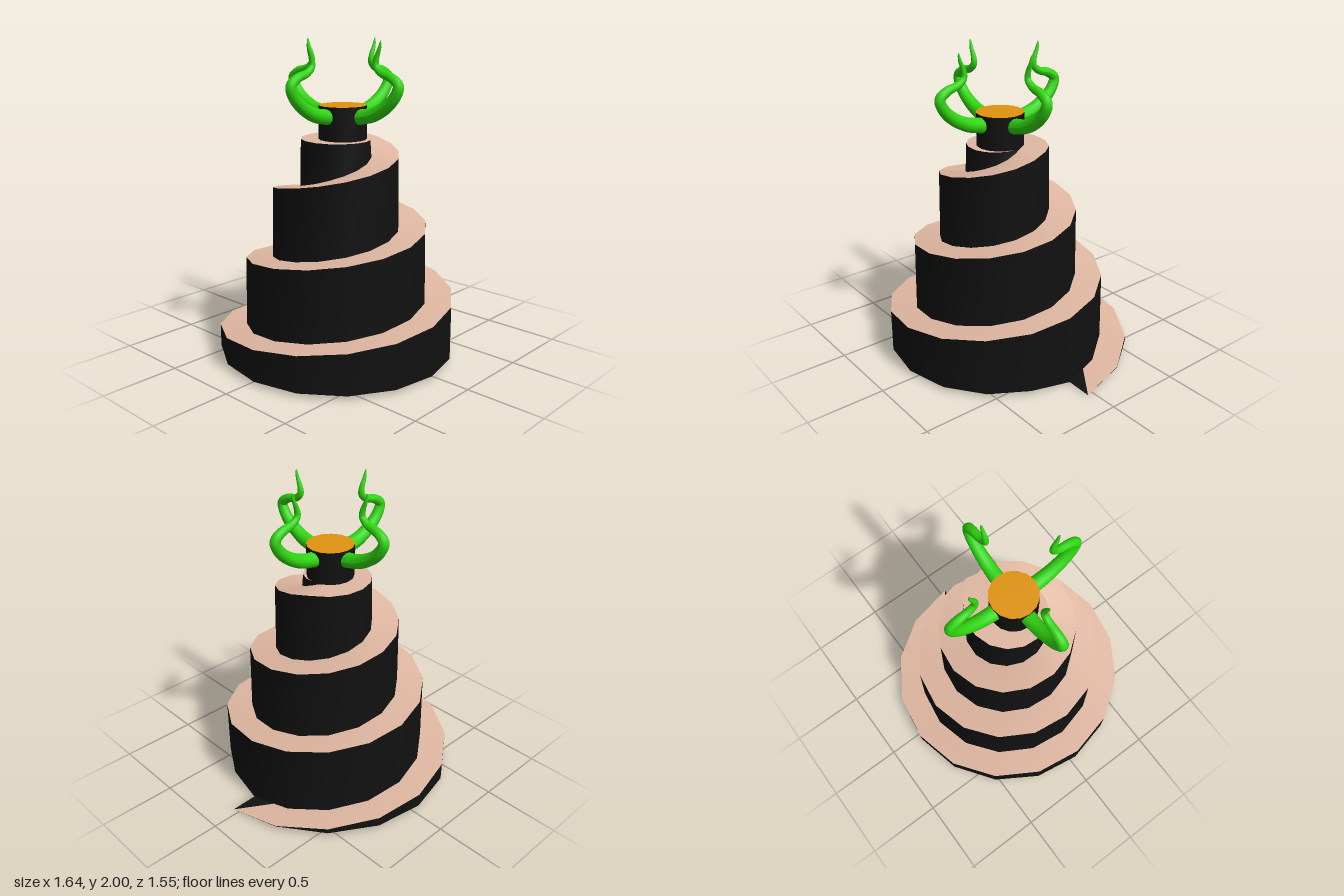
import * as THREE from 'three';

const CX = -0.045, CZ = 0.04;      // tower axis
const SIDES = 16, STEPS = 64;      // corners per turn, four turns in all
const NECK_R = 0.15, NECK_TOP = 1.6;

const material = (color, side = THREE.FrontSide) =>
  new THREE.MeshStandardMaterial({ color, side });

// spiral rules: radius shrinks and height climbs with every corner
const radius = k => 0.865 - 0.0112 * k;
const height = k => Math.min(0.0285 * k, 1.39);
const corner = (k, r, y) => {
  const a = (k / SIDES) * Math.PI * 2;
  return [r * Math.cos(a), y, -r * Math.sin(a)];
};

// smooth strip of quads between two rows of points
function strip(rowA, rowB) {
  const position = [], index = [];
  rowA.forEach((p, i) => {
    position.push(...p, ...rowB[i]);
    if (i < rowA.length - 1) {
      const a = i * 2;
      index.push(a, a + 2, a + 3, a, a + 3, a + 1);
    }
  });
  const g = new THREE.BufferGeometry();
  g.setAttribute('position', new THREE.Float32BufferAttribute(position, 3));
  g.setIndex(index);
  g.computeVertexNormals();
  return g;
}

const row = (from, to, fn) =>
  Array.from({ length: to - from + 1 }, (_, i) => fn(from + i));

// horn: tube along a curled path, narrowed ring by ring towards the tip
function hornGeometry() {
  const path = new THREE.CatmullRomCurve3([
    [0.13, 1.535], [0.245, 1.56], [0.355, 1.62], [0.42, 1.69], [0.437, 1.745],
    [0.385, 1.787], [0.305, 1.812], [0.264, 1.85], [0.27, 1.9], [0.29, 1.95], [0.3, 1.998],
  ].map(([x, y]) => new THREE.Vector3(x, y, 0)));
  const rings = 48, sides = 14;
  const g = new THREE.TubeGeometry(path, rings, 1, sides);
  const pos = g.attributes.position, v = new THREE.Vector3();
  for (let i = 0; i <= rings; i++) {
    const u = i / rings, c = path.getPointAt(u);
    const r = 0.047 * Math.pow(1 - u, 0.6) + 0.002;
    for (let j = 0; j <= sides; j++) {
      const n = i * (sides + 1) + j;
      v.fromBufferAttribute(pos, n).sub(c).multiplyScalar(r).add(c);
      pos.setXYZ(n, v.x, v.y, v.z);
    }
  }
  g.computeVertexNormals();
  return g;
}

export function createModel() {
  const model = new THREE.Group();
  model.name = 'spiralTower';
  const tower = new THREE.Group();
  tower.name = 'tower';
  tower.position.set(CX, 0, CZ);
  model.add(tower);

  const black = material(0x111111, THREE.DoubleSide);
  const tan = material(0xe0b8a2, THREE.DoubleSide);
  const green = material(0x2fd410);
  const orange = material(0xe0920f);
  const add = (name, geometry, mat, parent = tower) => {
    const mesh = new THREE.Mesh(geometry, mat);
    mesh.name = name;
    parent.add(mesh);
    return mesh;
  };

  // winding wall, each turn standing on the ramp of the turn below
  const footRadius = k => radius(k) + (k >= SIDES ? 0.007 : 0);
  const foot = k => (k >= SIDES ? height(k - SIDES) : k === 0 ? 0 : 0.025);
  add('spiralWall', strip(
    row(0, STEPS, k => corner(k, footRadius(k), foot(k))),
    row(0, STEPS, k => corner(k, radius(k), height(k)))), black);

  // ramp from the wall's top edge in to the next turn
  add('spiralRamp', strip(
    row(0, STEPS, k => corner(k, radius(k), height(k))),
    row(0, STEPS, k => corner(k,
      Math.min(radius(k), Math.max(footRadius(k + SIDES), NECK_R - 0.01)), height(k)))), tan);

  // underside
  add('base', strip(
    row(0, SIDES, () => [0, 0.025, 0]),
    row(0, SIDES, k => corner(k, radius(k), foot(k)))), black);

  // neck and its coloured top
  const neck = add('neck',
    new THREE.CylinderGeometry(NECK_R, NECK_R, NECK_TOP - 1.3, SIDES, 1, true), black);
  neck.position.y = (NECK_TOP + 1.3) / 2;
  const cap = add('neckTop', new THREE.CircleGeometry(NECK_R, SIDES), orange);
  cap.rotation.x = -Math.PI / 2;
  cap.position.y = NECK_TOP;

  // four horns around the neck
  const horns = new THREE.Group();
  horns.name = 'horns';
  tower.add(horns);
  const horn = hornGeometry();
  ['left', 'back', 'right', 'front'].forEach((side, i) => {
    add(side + 'Horn', horn, green, horns).rotation.y = i * Math.PI / 2;
  });

  return model;
}
